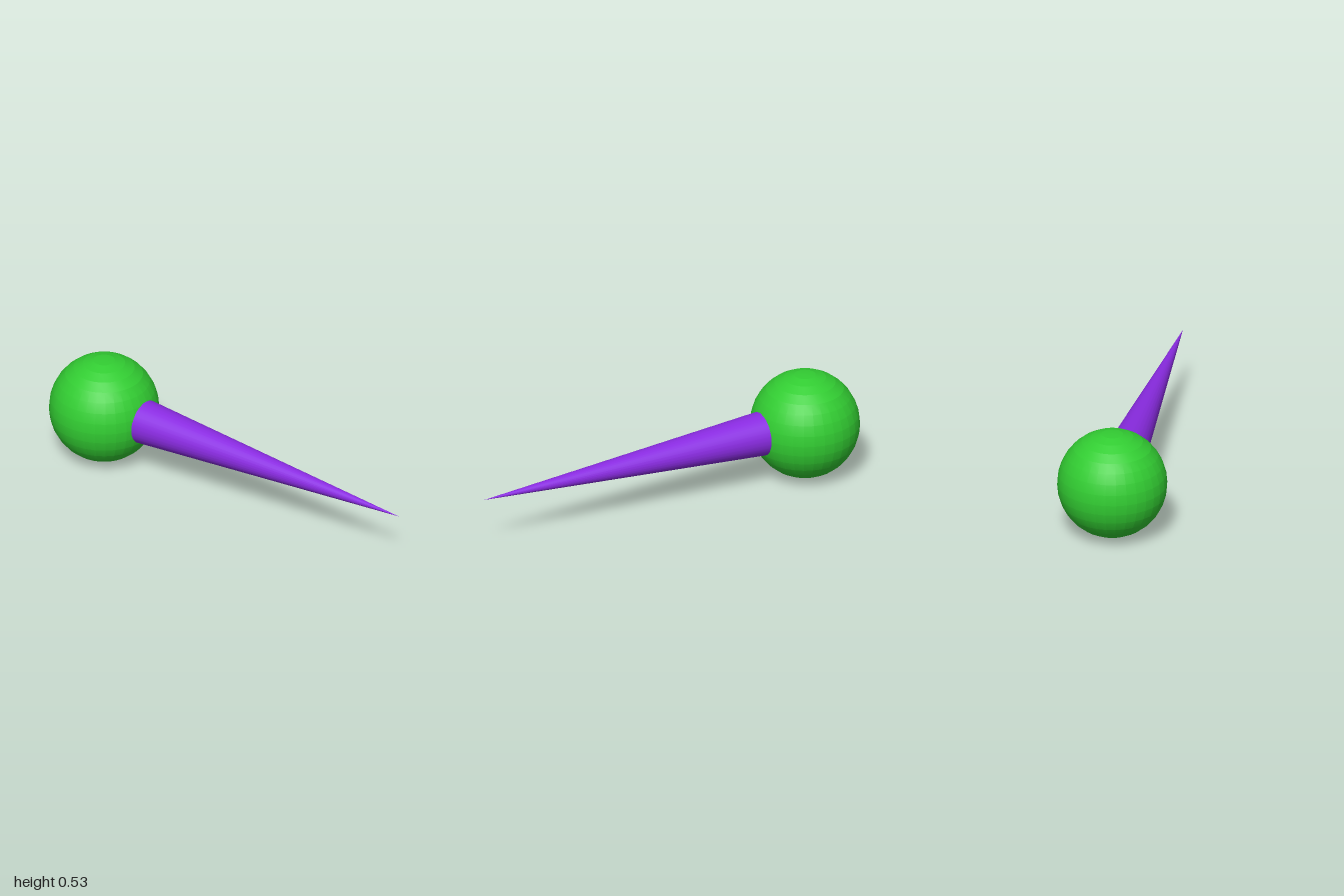
import * as THREE from 'three';
import { toCreasedNormals } from 'three/addons/utils/BufferGeometryUtils.js';

const RADIUS = 0.263;

export function createModel() {
  const model = new THREE.Group();
  const center = new THREE.Vector3(RADIUS - 1, RADIUS, 0);
  const tip = new THREE.Vector3(1, RADIUS, 0.122);

  // Ball: smooth around, with the horizontal rings kept as crisp bands
  const ballGeometry = toCreasedNormals(new THREE.SphereGeometry(RADIUS, 32, 16), 0.196);
  const ball = new THREE.Mesh(ballGeometry, new THREE.MeshStandardMaterial({ color: 0x32cd32 }));
  ball.name = 'ball';
  ball.position.copy(center);

  // Spike: long cone from the ball's centre, leaning slightly to the front
  const axis = tip.clone().sub(center);
  const length = axis.length();
  const spikeGeometry = new THREE.ConeGeometry(0.123, length, 32).translate(0, length / 2, 0);
  const spike = new THREE.Mesh(spikeGeometry, new THREE.MeshStandardMaterial({ color: 0x8a2be2 }));
  spike.name = 'spike';
  spike.position.copy(center);
  spike.quaternion.setFromUnitVectors(new THREE.Vector3(0, 1, 0), axis.normalize());

  model.add(ball, spike);
  return model;
}
